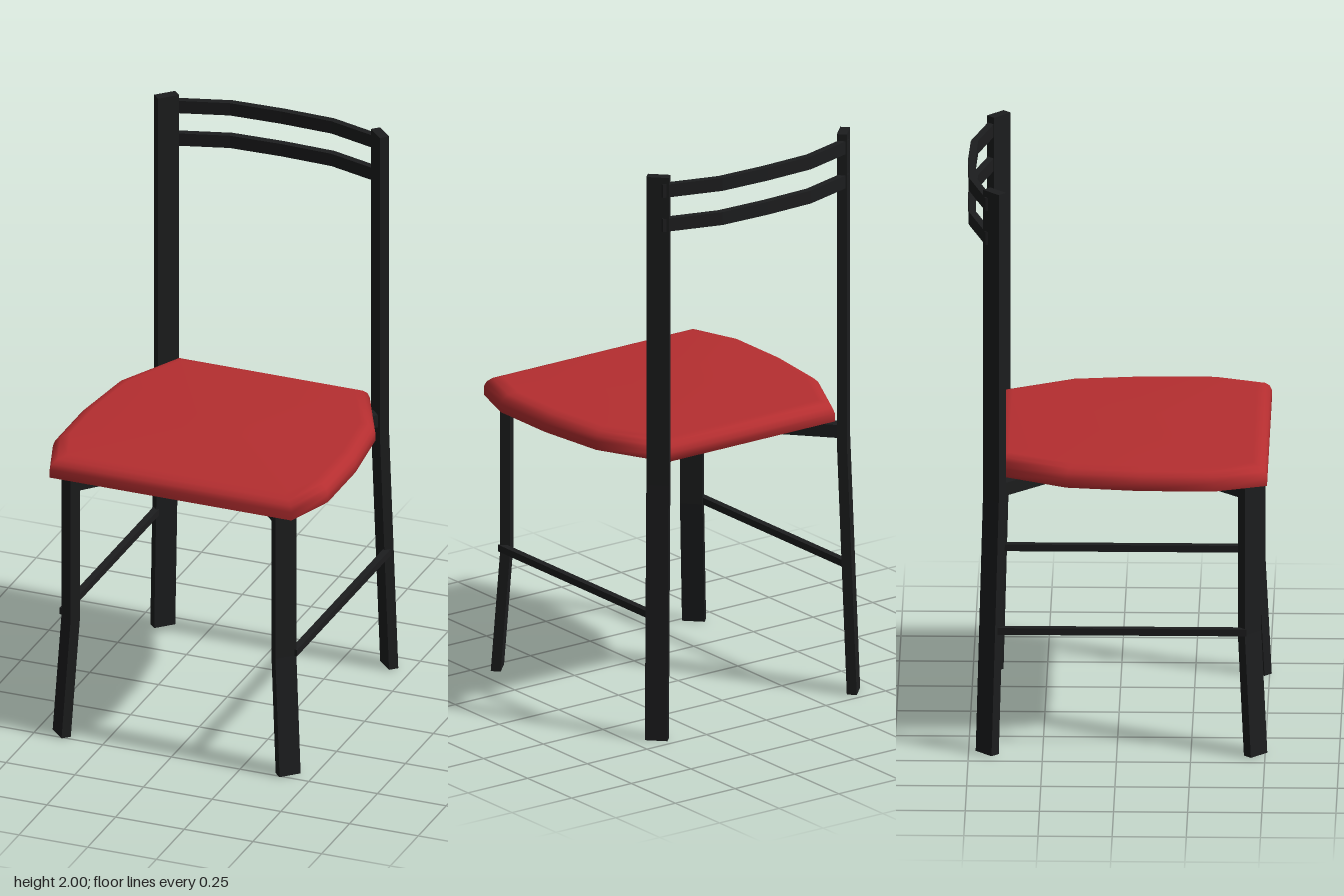
import * as THREE from 'three';

const frameBlack = new THREE.MeshStandardMaterial({ color: 0x1c1d1e });
frameBlack.name = 'frameBlack';
const seatRed = new THREE.MeshStandardMaterial({ color: 0xb52e30 });
seatRed.name = 'seatRed';

// Skins a run of four-cornered rings (counter-clockwise about the direction of travel), hard edged
function loft(rings) {
  const pos = [];
  const quad = (a, b, c, d) => pos.push(...a, ...b, ...c, ...a, ...c, ...d);
  for (let i = 0; i + 1 < rings.length; i++) {
    for (let j = 0; j < 4; j++) {
      const k = (j + 1) % 4;
      quad(rings[i][j], rings[i][k], rings[i + 1][k], rings[i + 1][j]);
    }
  }
  quad(...[...rings[0]].reverse());
  quad(...rings[rings.length - 1]);
  const g = new THREE.BufferGeometry();
  g.setAttribute('position', new THREE.Float32BufferAttribute(pos, 3));
  g.computeVertexNormals();
  return g;
}

const CORNERS = [[-1, -1], [1, -1], [1, 1], [-1, 1]];

// Flat bar set diagonally, its wide face turned outward; points are [x, y, z]
function legGeometry(points, sx, sz) {
  const thick = 0.017 * Math.SQRT1_2, wide = 0.0385 * Math.SQRT1_2;
  return loft(points.map(([x, y, z]) => CORNERS.map(([a, b]) => [
    sx * x + a * thick * sx + b * wide * sz,
    y,
    z + a * thick * sz - b * wide * sx,
  ])));
}

// Cushion: the outline repeated in rings that draw in towards the top
function seatGeometry() {
  const half = [[0.44, 0.507], [0.5, 0.33], [0.5, 0.08], [0.47, -0.17], [0.35, -0.415]];
  const outline = [...half, ...half.map(([x, z]) => [-x, z]).reverse()];
  const rings = [[0.97, 0], [1.0, 0], [1.018, 0.007], [1.032, 0.022], [1.04, 0.05]];
  const n = outline.length, midZ = 0.046;
  const pos = [], idx = [];
  for (const [y, inset] of rings) {
    for (const [x, z] of outline) {
      pos.push(x * (1 - inset / 0.5), y, midZ + (z - midZ) * (1 - inset / 0.461));
    }
  }
  const bottom = pos.length / 3, top = bottom + 1;
  pos.push(0, 0.97, midZ, 0, 1.04, midZ);
  const last = (rings.length - 1) * n;
  for (let j = 0; j < n; j++) {
    const k = (j + 1) % n;
    for (let r = 0; r < last; r += n) {
      idx.push(r + j, r + k, r + n + k, r + j, r + n + k, r + n + j);
    }
    idx.push(bottom, k, j, top, last + j, last + k);
  }
  const g = new THREE.BufferGeometry();
  g.setAttribute('position', new THREE.Float32BufferAttribute(pos, 3));
  g.setIndex(idx);
  g.computeVertexNormals();
  // Soft lower rim: its normals lean outward
  const normal = g.attributes.normal;
  for (let j = 0; j < n; j++) {
    const v = new THREE.Vector3(outline[j][0], -0.2, outline[j][1] - midZ).normalize();
    normal.setXYZ(j, v.x, v.y, v.z);
  }
  return g;
}

export function createModel() {
  const model = new THREE.Group();
  model.name = 'chair';
  const add = (name, geometry, material = frameBlack) => {
    const mesh = new THREE.Mesh(geometry, material);
    mesh.name = name;
    model.add(mesh);
    return mesh;
  };

  add('seat', seatGeometry(), seatRed);

  for (const s of [1, -1]) {
    const side = s > 0 ? 'left' : 'right';

    // Legs, splayed below their bends; the back ones run up to the top
    add(side + 'FrontLeg', legGeometry(
      [[0.412, 0, 0.468], [0.388, 0.43, 0.447], [0.388, 0.975, 0.447]], s, 1));
    add(side + 'BackLeg', legGeometry(
      [[0.412, 0, -0.437], [0.388, 0.9, -0.413], [0.388, 2, -0.413]], s, -1));

    // Thin stretcher between front and back leg
    add(side + 'Stretcher', new THREE.BoxGeometry(0.024, 0.024, 0.85))
      .position.set(s * 0.42, 0.44, 0.012);

    // Diagonal brace under the seat
    const dx = s * 0.776, dz = 0.86;
    const brace = add(side + 'SeatBrace',
      new THREE.BoxGeometry(Math.hypot(dx, dz), 0.046, 0.045));
    brace.position.set(0, 0.932, 0.017);
    brace.rotation.y = Math.atan2(-dz, dx);
  }

  // Two bowed back rails
  const bow = [[-0.39, -0.431], [-0.185, -0.491], [0, -0.497], [0.185, -0.491], [0.39, -0.431]];
  for (const [name, y] of [['upperBackRail', 1.953], ['lowerBackRail', 1.831]]) {
    add(name, loft(bow.map(([x, z]) =>
      CORNERS.map(([a, b]) => [x, y + a * 0.023, z + b * 0.0125]))));
  }

  return model;
}
